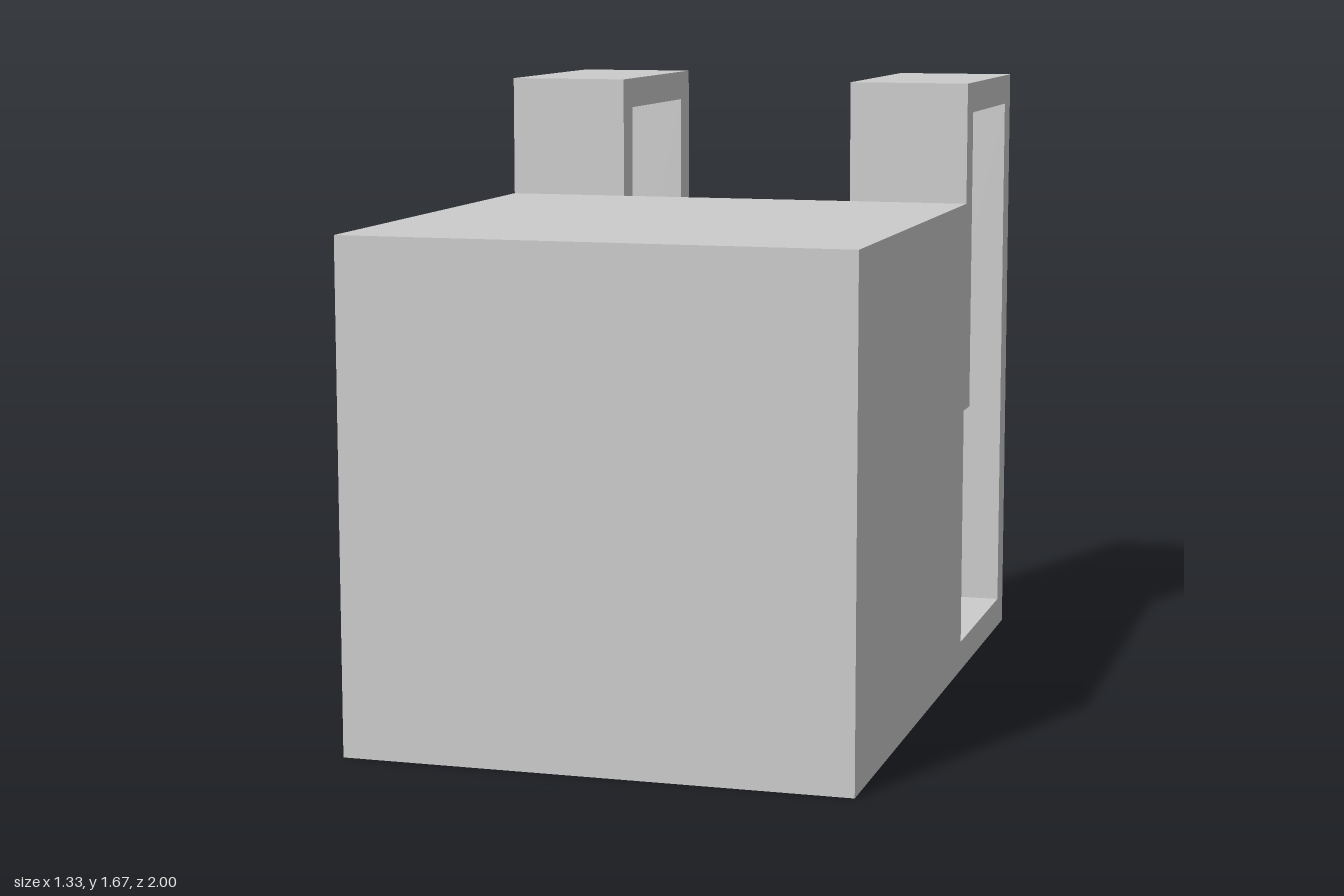
import * as THREE from 'three';

export function createModel() {
  const model = new THREE.Group();
  const material = new THREE.MeshStandardMaterial({ color: 0xcccccc, flatShading: true });
  const u = 1 / 12; // wall thickness of the straps

  // Solid block that fills the front
  const body = new THREE.Mesh(new THREE.BoxGeometry(16 * u, 16 * u, 16 * u), material);
  body.name = 'body';
  body.position.set(0, 8 * u, 4 * u);
  model.add(body);

  // Strap outline seen from the side: distance behind the centre, height
  const outline = [
    [4, 0], [12, 0], [12, 20], [4, 20], [4, 9],
    [5, 9], [5, 19], [11, 19], [11, 1], [4, 1],
  ].map(([back, y]) => new THREE.Vector2(back * u, y * u));
  const strapGeometry = new THREE.ExtrudeGeometry(new THREE.Shape(outline), {
    depth: 4 * u,
    bevelEnabled: false,
  });
  strapGeometry.rotateY(Math.PI / 2); // outline runs backwards, width along x

  // One open strap loop on each side of the back
  for (const [name, x] of [['leftStrap', 4 * u], ['rightStrap', -8 * u]]) {
    const strap = new THREE.Mesh(strapGeometry, material);
    strap.name = name;
    strap.position.x = x;
    model.add(strap);
  }

  return model;
}
